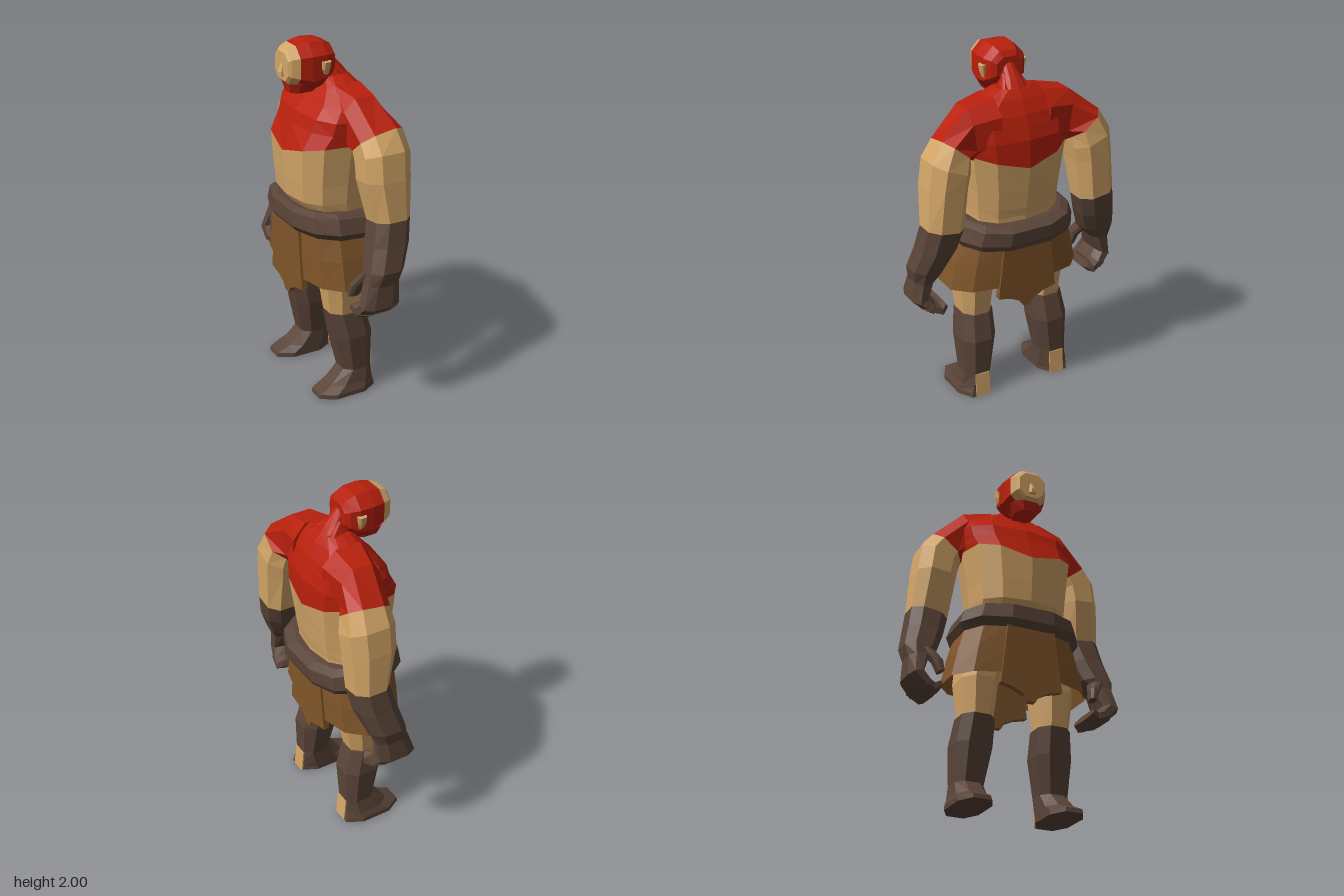
import * as THREE from 'three';

const mat = (name, color, side = THREE.FrontSide) => {
  const m = new THREE.MeshStandardMaterial({ color, flatShading: true, side });
  m.name = name;
  return m;
};

// Squared ring: spans x0..x1 and runs across from a = [z, y] to b = [z, y].
// tilt slopes it along x, lift raises its sides, phase 0 puts a corner on the axis.
function ring(n, x0, x1, a, b, tilt = 0, lift = 0, phase = 0.5) {
  const pts = [], p = 0.78, k = Math.cos((phase * Math.PI * 2) / n) ** p;
  const square = (v) => (Math.sign(v) * Math.abs(v) ** p) / k;
  for (let i = 0; i < n; i++) {
    const t = ((i + phase) / n) * Math.PI * 2;
    const c = square(Math.cos(t)), s = square(Math.sin(t));
    const x = (x0 + x1) / 2 + (c * (x1 - x0)) / 2;
    pts.push([x, (a[1] + b[1]) / 2 + (s * (b[1] - a[1])) / 2 + tilt * x + lift * Math.abs(s),
      (a[0] + b[0]) / 2 + (s * (b[0] - a[0])) / 2]);
  }
  return pts;
}

// Level rings centred on z = 0: flat-backed, and ridged along the spine
const level = (y, x0, x1, z, tilt, lift) => ring(12, x0, x1, [-z, y], [z, y], tilt, lift);
const ridged = (y, x0, x1, z, tilt, lift) => ring(12, x0, x1, [-z, y], [z, y], tilt, lift, 0);

// Upright ring across x, used along the head
function upright(x, y0, y1, z) {
  return ring(8, y0, y1, [-z, x], [z, x]).map(([u, v, w]) => [v, u, w]);
}

// Flat-shaded skin over rings, wound outward; capped unless open
function loft(rings, open = false) {
  const tris = [], n = rings[0].length;
  for (let r = 0; r + 1 < rings.length; r++) {
    for (let i = 0; i < n; i++) {
      const j = (i + 1) % n, A = rings[r], B = rings[r + 1];
      tris.push([A[i], B[i], B[j]], [A[i], B[j], A[j]]);
    }
  }
  if (!open) {
    const F = rings[0], L = rings[rings.length - 1];
    for (let i = 1; i + 1 < n; i++) tris.push([F[0], F[i], F[i + 1]], [L[0], L[i + 1], L[i]]);
  }
  let vol = 0;
  for (const [a, b, c] of tris) {
    vol += new THREE.Vector3(...a).dot(new THREE.Vector3(...b).cross(new THREE.Vector3(...c)));
  }
  const out = tris.map((t) => (vol < 0 ? [t[0], t[2], t[1]] : t));
  const g = new THREE.BufferGeometry();
  g.setAttribute('position', new THREE.Float32BufferAttribute(out.flat(2), 3));
  g.computeVertexNormals();
  return g;
}

export function createModel() {
  const skin = mat('skin', 0xd4a668);
  const red = mat('red', 0xb8200c);
  const leather = mat('dark leather', 0x5a4438);
  const cloth = mat('brown cloth', 0x80552a, THREE.DoubleSide);
  const model = new THREE.Group();
  model.name = 'figure';
  const add = (name, geo, m) => {
    const mesh = new THREE.Mesh(geo, m);
    mesh.name = name;
    model.add(mesh);
    return mesh;
  };

  // Torso: bare belly, red upper body and neck
  const hem = ridged(1.4, -0.26, 0.24, 0.315, -0.03, 0.085);
  add('belly', loft([ridged(1.0, -0.2, 0.19, 0.27), ridged(1.1, -0.205, 0.195, 0.27),
    ridged(1.15, -0.24, 0.205, 0.275), ridged(1.26, -0.25, 0.22, 0.285), hem]), skin);
  add('chest', loft([hem, ridged(1.55, -0.205, 0.235, 0.33), ridged(1.62, -0.18, 0.215, 0.34),
    ridged(1.68, -0.125, 0.195, 0.32), ridged(1.755, -0.065, 0.155, 0.21),
    ridged(1.8, -0.035, 0.12, 0.1)]), red);
  add('neck', loft([ridged(1.75, -0.06, 0.155, 0.11), ridged(1.8, -0.03, 0.12, 0.075),
    ridged(1.84, -0.04, 0.09, 0.055), ridged(1.92, -0.09, 0.015, 0.03)]), red);

  // Head: red hood, bare face, nose and chin
  const brow = upright(-0.198, 1.765, 1.985, 0.107);
  add('face', loft([upright(-0.255, 1.8, 1.95, 0.075), upright(-0.24, 1.785, 1.97, 0.09), brow]), skin);
  add('hood', loft([brow, upright(-0.13, 1.735, 2, 0.12), upright(-0.05, 1.75, 1.995, 0.12),
    upright(0.0, 1.79, 1.975, 0.1), upright(0.02, 1.82, 1.945, 0.075)]), red);
  add('chin', loft([ring(8, -0.22, -0.07, [-0.06, 1.728], [0.06, 1.728]),
    ring(8, -0.235, -0.05, [-0.09, 1.785], [0.09, 1.785])]), red);
  add('nose', loft([ring(8, -0.275, -0.24, [-0.02, 1.82], [0.02, 1.82]),
    ring(8, -0.275, -0.24, [-0.018, 1.845], [0.018, 1.845]),
    ring(8, -0.256, -0.24, [-0.01, 1.89], [0.01, 1.89])]), skin);

  // Belt and skirt
  add('belt', loft([level(0.955, -0.24, 0.25, 0.335, -0.08, 0.005), level(0.985, -0.27, 0.265, 0.36, -0.08, 0.015),
    level(1.065, -0.265, 0.27, 0.33, -0.09, 0.015), level(1.085, -0.23, 0.22, 0.295, -0.09, 0.015)]), leather);
  add('skirt', loft([level(1, -0.23, 0.21, 0.32), level(0.85, -0.235, 0.215, 0.365),
    level(0.71, -0.235, 0.215, 0.4, 0, -0.02)], true), cloth);

  // Ragged flaps hanging front and back
  const half = [[0.14, 0.98], [0.18, 0.64], [0.1, 0.62], [0.04, 0.59], [0.02, 0.555]];
  const outline = [...half, ...half.map(([z, y]) => [-z, y]).reverse()];
  const flapGeo = new THREE.ExtrudeGeometry(
    new THREE.Shape(outline.map(([z, y]) => new THREE.Vector2(z, y))), { depth: 0.035, bevelEnabled: false });
  flapGeo.rotateY(Math.PI / 2);
  add('backFlap', flapGeo, cloth).position.x = 0.184;
  add('frontFlap', flapGeo, cloth).position.x = -0.24;

  // Paired parts: s is the side along z
  for (const s of [1, -1]) {
    const tag = s > 0 ? 'A' : 'B';
    const R = (x0, x1, a, b, tilt) => ring(8, x0, x1, [a[0] * s, a[1]], [b[0] * s, b[1]], tilt);

    // Arm
    const cuff = R(-0.03, 0.22, [0.31, 1.45], [0.475, 1.585], 0.17);
    const elbow = R(0.02, 0.225, [0.365, 1.1], [0.575, 1.13]);
    add('shoulder' + tag, loft([R(-0.1, 0.2, [0.14, 1.45], [0.15, 1.775]),
      R(-0.05, 0.175, [0.27, 1.45], [0.31, 1.745]), cuff]), red);
    add('upperArm' + tag, loft([cuff, R(-0.03, 0.24, [0.32, 1.41], [0.54, 1.5]),
      R(-0.03, 0.235, [0.335, 1.33], [0.56, 1.35]), elbow]), skin);
    add('forearm' + tag, loft([elbow, R(-0.01, 0.205, [0.4, 0.98], [0.6, 1.0]),
      R(-0.045, 0.155, [0.45, 0.86], [0.632, 0.87]), R(-0.06, 0.125, [0.5, 0.8], [0.615, 0.79])]), leather);
    add('palm' + tag, loft([R(-0.06, 0.125, [0.5, 0.81], [0.615, 0.8]),
      R(-0.1, 0.12, [0.54, 0.7], [0.627, 0.67]), R(-0.1, 0.14, [0.5, 0.65], [0.55, 0.6])]), leather);
    add('fingers' + tag, loft([R(-0.1, 0.135, [0.53, 0.67], [0.58, 0.62]),
      R(-0.09, 0.15, [0.49, 0.65], [0.485, 0.58]), R(-0.095, 0.13, [0.465, 0.66], [0.445, 0.615])]), leather);
    add('thumb' + tag, loft([R(-0.06, 0.03, [0.47, 0.83], [0.55, 0.85]),
      R(-0.1, -0.02, [0.445, 0.775], [0.5, 0.765]), R(-0.11, -0.04, [0.44, 0.71], [0.475, 0.7])]), leather);

    // Leg with boot and bare heel
    const knee = R(-0.11, 0.1, [0.13, 0.5], [0.32, 0.5]);
    add('thigh' + tag, loft([R(-0.16, 0.16, [0.02, 0.96], [0.3, 0.96]),
      R(-0.14, 0.13, [0.12, 0.7], [0.33, 0.7]), R(-0.11, 0.095, [0.14, 0.5], [0.31, 0.5])]), skin);
    add('boot' + tag, loft([knee, R(-0.085, 0.14, [0.13, 0.35], [0.34, 0.35]),
      R(-0.04, 0.135, [0.165, 0.14], [0.33, 0.14]), R(-0.12, 0.14, [0.165, 0.06], [0.345, 0.06]),
      R(-0.195, 0.145, [0.165, 0.025], [0.36, 0.025]), R(-0.2, 0.15, [0.165, 0], [0.36, 0])]), leather);
    const heel = add('heel' + tag, new THREE.BoxGeometry(0.008, 0.138, 0.088), skin);
    heel.position.set(0.143, 0.07, s * 0.245);
    heel.rotation.z = 0.09;

    // Ear and loose strand at the nape
    add('ear' + tag, loft([R(-0.07, -0.04, [0.1, 1.83], [0.122, 1.83]),
      R(-0.08, -0.035, [0.1, 1.86], [0.132, 1.86]), R(-0.08, -0.03, [0.1, 1.905], [0.14, 1.9])]), skin);
    add('strand' + tag, loft([R(0, 0.04, [0.02, 1.86], [0.05, 1.86]),
      R(0.06, 0.11, [0.05, 1.79], [0.085, 1.79]), R(0.1, 0.12, [0.07, 1.725], [0.085, 1.725])]), red);
  }
  return model;
}
